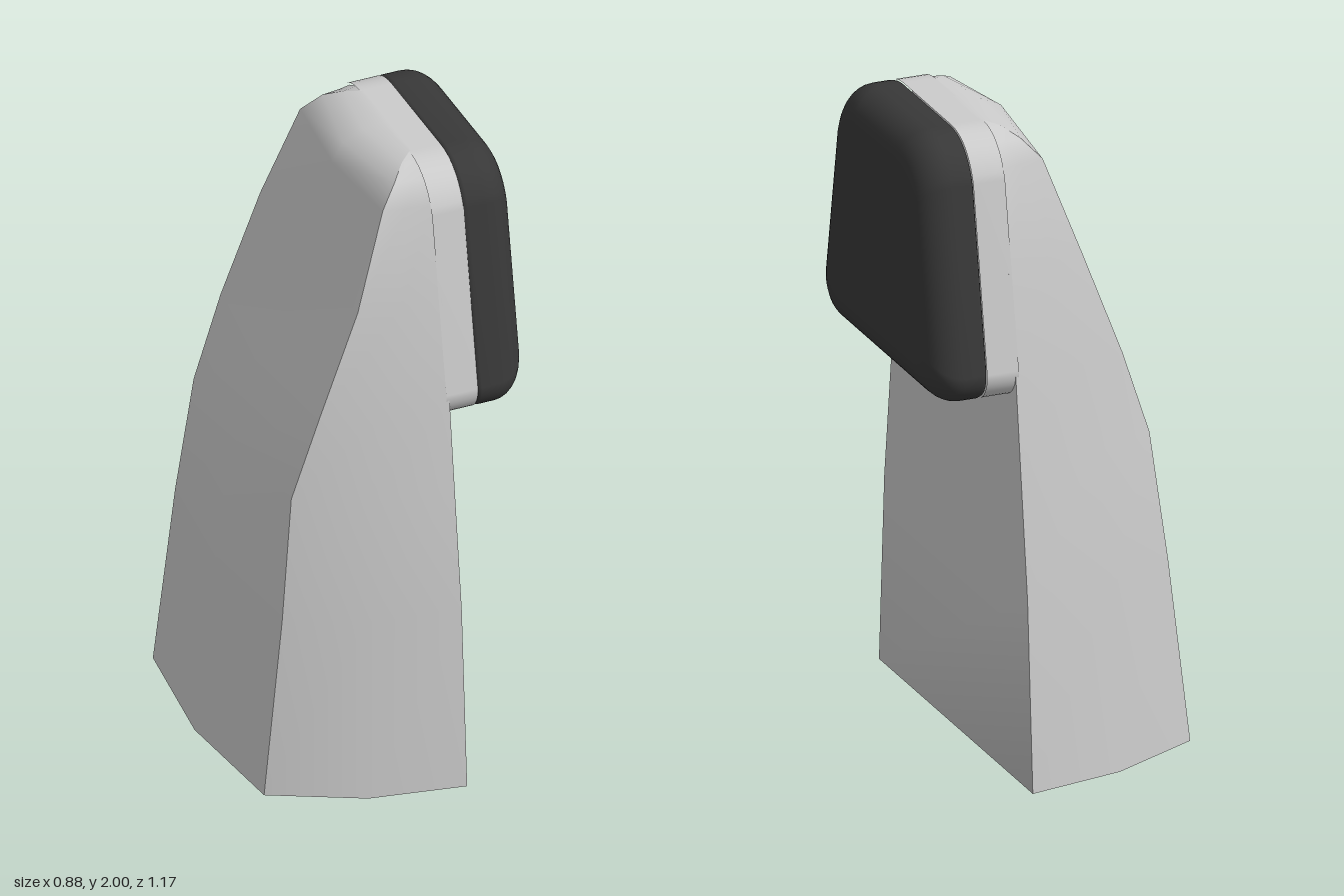
import * as THREE from 'three';

// Smooth surface through rows of [x, y, z] points
function grid(rows, closed = false) {
  const n = rows[0].length, index = [];
  for (let i = 0; i < rows.length - 1; i++) {
    for (let j = 0; j < (closed ? n : n - 1); j++) {
      const k = (j + 1) % n;
      const a = i * n + j, b = i * n + k, c = a + n, d = b + n;
      index.push(a, c, b, b, c, d);
    }
  }
  const g = new THREE.BufferGeometry();
  g.setAttribute('position', new THREE.Float32BufferAttribute(rows.flat(2), 3));
  g.setIndex(index);
  g.computeVertexNormals();
  return g;
}

// Rounded trapezoid outline as (z, y) points, from the top round the -z side
function padOutline() {
  const s = new THREE.Shape();
  s.moveTo(0.18, 2);
  s.lineTo(-0.18, 2);
  s.bezierCurveTo(-0.265, 2, -0.325, 1.95, -0.35, 1.87);
  s.lineTo(-0.455, 1.3);
  s.bezierCurveTo(-0.46, 1.25, -0.42, 1.2, -0.35, 1.2);
  s.lineTo(0.35, 1.2);
  s.bezierCurveTo(0.42, 1.2, 0.46, 1.25, 0.455, 1.3);
  s.lineTo(0.35, 1.87);
  s.bezierCurveTo(0.325, 1.95, 0.265, 2, 0.18, 2);
  const pts = s.getPoints(10);
  pts.pop();
  return pts;
}

// Outline swept along x; each profile entry is [x, inset]
function sweep(profile) {
  const pts = padOutline();
  return grid(profile.map(([x, inset]) => pts.map((p) => [
    x, 1.6 + (p.y - 1.6) * (1 - inset / 0.4), p.x * (1 - inset / 0.45),
  ])), true);
}

export function createModel() {
  const group = new THREE.Group();
  const grey = new THREE.MeshStandardMaterial({ color: 0xcccccc });
  const dark = new THREE.MeshStandardMaterial({ color: 0x383838 });
  const add = (name, geometry, material = grey) => {
    const mesh = new THREE.Mesh(geometry, material);
    mesh.name = name;
    group.add(mesh);
  };

  // Body sections: y, front half width, side x/z, rear corner x/z, rear centre x
  const FX = 0.18;
  const sections = [
    [0, 0.585, -0.12, 0.54, -0.4, 0.41, -0.445],
    [0.6, 0.545, -0.11, 0.5, -0.335, 0.395, -0.377],
    [1, 0.492, -0.08, 0.45, -0.29, 0.36, -0.33],
    [1.27, 0.457, -0.02, 0.43, -0.2, 0.367, -0.213],
    [1.6, 0.4, 0.05, 0.386, -0.075, 0.36, -0.083],
    [1.9, 0.337, 0.1, 0.322, 0.03, 0.305, 0],
    [1.96, 0.282, 0.14, 0.272, 0.085, 0.265, 0.035],
    [1.99, 0.225, 0.155, 0.22, 0.13, 0.215, 0.1],
    [2, 0.18, 0.178, 0.18, 0.17, 0.18, 0.16],
  ].map(([y, fz, mx, mz, cx, cz, bx], i) => {
    const rise = i ? 0 : 0.015; // the base lifts slightly to the rear
    return {
      front: (s) => [FX, y, s * fz],
      side: (s) => [mx, y + rise / 2, s * mz],
      corner: (s) => [cx, y + rise, s * cz],
      back: [bx, y + rise, 0],
    };
  });

  // Side walls
  add('leftWall', grid(sections.map((q) => [q.front(1), q.side(1), q.corner(1)])));
  add('rightWall', grid(sections.map((q) => [q.corner(-1), q.side(-1), q.front(-1)])));

  // Rear shell, carried over the top
  const rear = sections.map((q) => [q.corner(1), q.back, q.corner(-1)]);
  rear.push([[FX, 2, 0.18], [FX, 2, 0], [FX, 2, -0.18]]);
  add('rearShell', grid(rear));

  // Base running smoothly into the flat face
  const base = sections[0];
  add('faceAndBase', grid([
    [base.back, base.back],
    [base.corner(-1), base.corner(1)],
    [base.side(-1), base.side(1)],
    ...sections.map((q) => [q.front(-1), q.front(1)]),
  ]));

  // Mount behind the pad
  add('padMount', sweep([[0.17, 0], [0.272, 0]]));

  // Pad with a small inner and a large outer rounding
  const profile = [[0.27, 0.4], [0.27, 0.012], [0.274, 0.003], [0.285, 0], [0.34, 0]];
  for (let i = 1; i <= 8; i++) {
    const a = (i / 8) * Math.PI / 2;
    profile.push([0.34 + 0.1 * Math.sin(a), 0.1 * (1 - Math.cos(a))]);
  }
  profile.push([0.44, 0.11], [0.44, 0.4]);
  add('pad', sweep(profile), dark);

  return group;
}
